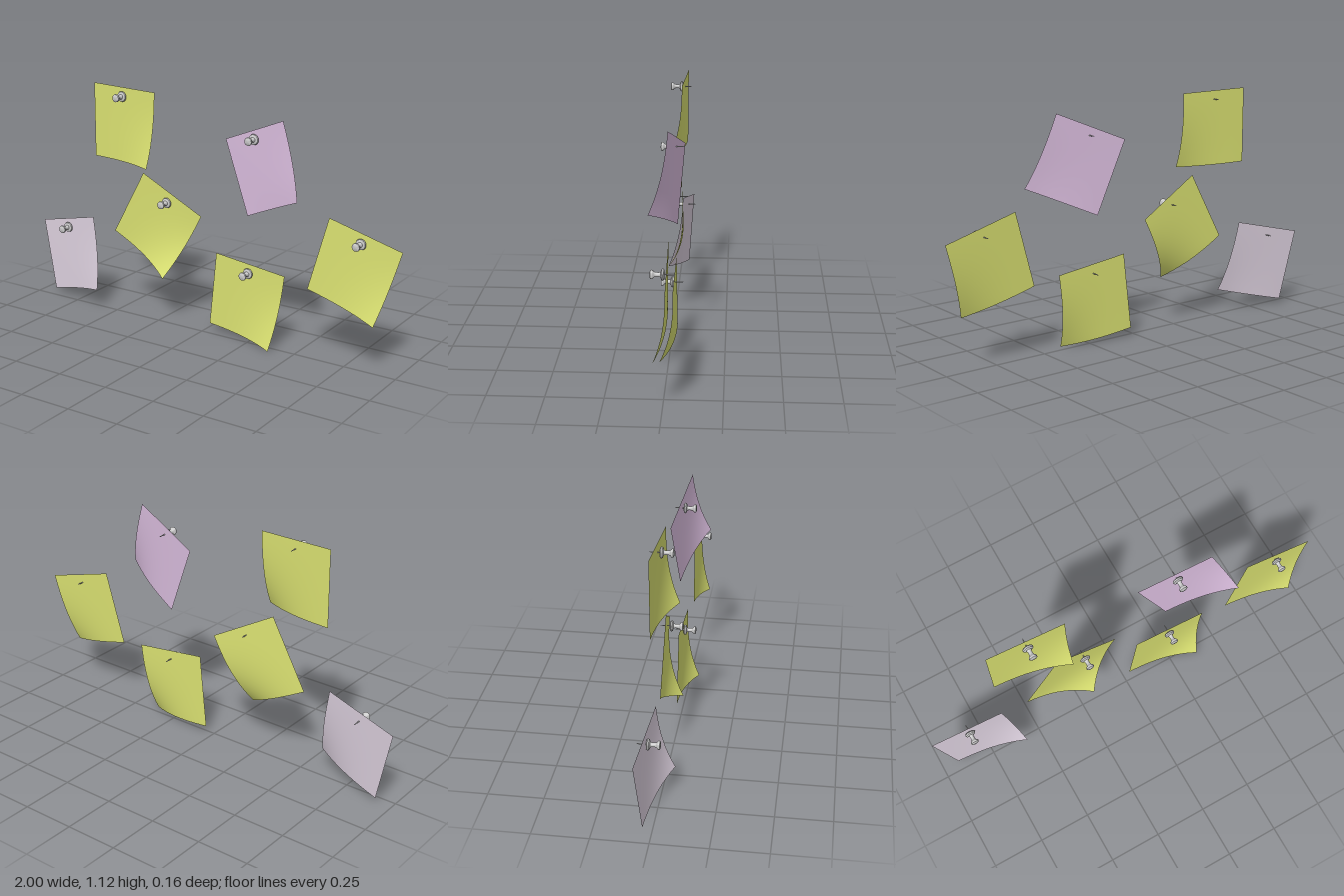
import * as THREE from 'three';
import { toCreasedNormals } from 'three/addons/utils/BufferGeometryUtils.js';

const YELLOW = 0xdbe272, PINK = 0xdcbfe0, LILAC = 0xdcd0de;

// corners run top left, top right, bottom right, bottom left; pin is x, y and z of its front
const NOTES = [
  { color: YELLOW, corners: [[-0.643, 1.121, -0.045], [-0.28, 1.115, -0.027], [-0.288, 0.76, 0.035], [-0.643, 0.763, -0.043]], pin: [-0.462, 1.077, 0.033] },
  { color: PINK, corners: [[0.09, 0.94, -0.06], [0.42, 1.075, 0], [0.54, 0.745, 0.077], [0.225, 0.605, -0.033]], pin: [0.264, 0.969, 0.038] },
  { color: YELLOW, corners: [[-0.344, 0.724, -0.02], [-0.035, 0.553, -0.047], [-0.2, 0.238, 0.037], [-0.52, 0.408, -0.022]], pin: [-0.208, 0.6, 0.038] },
  { color: LILAC, corners: [[-1, 0.371, -0.063], [-0.651, 0.454, -0.02], [-0.582, 0.107, 0.053], [-0.921, 0.024, -0.041]], pin: [-0.818, 0.371, 0.024] },
  { color: YELLOW, corners: [[0.067, 0.403, -0.02], [0.43, 0.358, -0.021], [0.384, 0.005, 0.042], [0.029, 0.045, -0.024]], pin: [0.243, 0.338, 0.041] },
  { color: YELLOW, corners: [[0.649, 0.673, -0.015], [0.998, 0.577, -0.02], [0.9, 0.235, 0.037], [0.553, 0.328, -0.008]], pin: [0.81, 0.585, 0.05] },
];

// Paper sheet: a flat square whose bottom right corner curls forward
function makeSheet(corners, color) {
  const [tl, tr, br, bl] = corners;
  const geometry = new THREE.PlaneGeometry(1, 1, 10, 10);
  const pos = geometry.attributes.position;
  const curl = br[2] - (tr[2] + bl[2] - tl[2]);
  for (let i = 0; i < pos.count; i++) {
    const u = pos.getX(i) + 0.5, v = 0.5 - pos.getY(i);
    const mix = (k) => (1 - v) * ((1 - u) * tl[k] + u * tr[k]) + v * ((1 - u) * bl[k] + u * br[k]);
    const z = tl[2] + (tr[2] - tl[2]) * u + (bl[2] - tl[2]) * v + curl * Math.pow(u * v, 2.5);
    pos.setXYZ(i, mix(0), mix(1), z);
  }
  geometry.computeVertexNormals();
  const sheet = new THREE.Mesh(geometry, new THREE.MeshStandardMaterial({ color, side: THREE.DoubleSide }));
  sheet.name = 'paperSheet';
  return sheet;
}

// Push pin: needle, collar, waist and head in one turned profile, front at z = 0
function makePinGeometry() {
  const profile = [
    [0, -0.104], [0.0022, -0.095], [0.0022, -0.058], [0.02, -0.058], [0.025, -0.053],
    [0.023, -0.047], [0.012, -0.043], [0.009, -0.036], [0.0095, -0.022], [0.012, -0.015],
    [0.017, -0.012], [0.019, -0.008], [0.018, -0.002], [0.015, 0], [0, 0],
  ].map(([r, y]) => new THREE.Vector2(r, y));
  const geometry = new THREE.LatheGeometry(profile, 24);
  geometry.rotateX(Math.PI / 2);
  return toCreasedNormals(geometry, Math.PI / 4);
}

export function createModel() {
  const model = new THREE.Group();
  model.name = 'pinnedNotes';
  const pinGeometry = makePinGeometry();
  const pinMaterial = new THREE.MeshStandardMaterial({ color: 0xcccccc });
  NOTES.forEach(({ color, corners, pin }, i) => {
    const note = new THREE.Group();
    note.name = `note${i + 1}`;
    const pushPin = new THREE.Mesh(pinGeometry, pinMaterial);
    pushPin.name = 'pushPin';
    pushPin.position.set(...pin);
    note.add(makeSheet(corners, color), pushPin);
    model.add(note);
  });
  return model;
}
